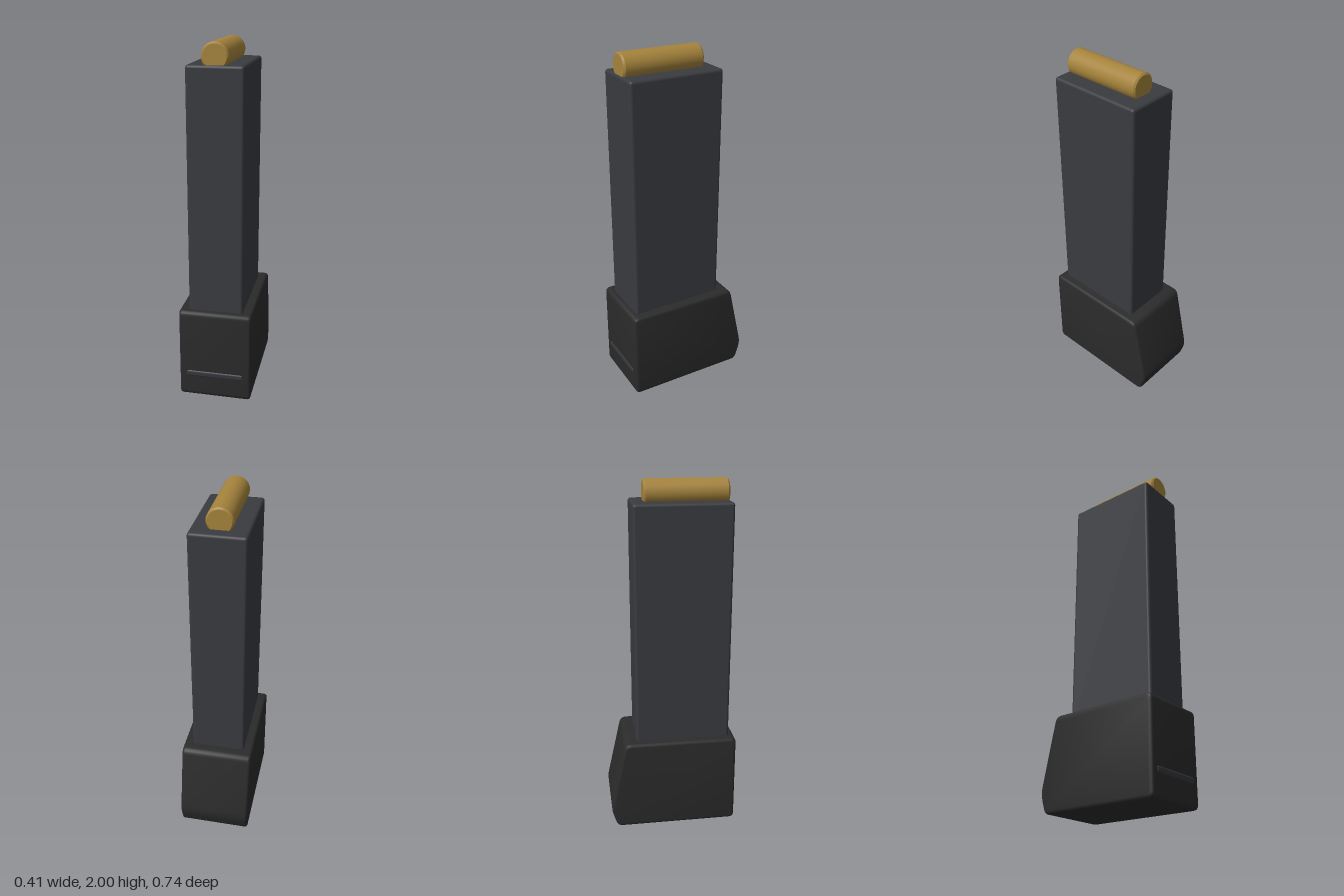
import * as THREE from 'three';
import { toCreasedNormals } from 'three/addons/utils/BufferGeometryUtils.js';
import { RoundedBoxGeometry } from 'three/addons/geometries/RoundedBoxGeometry.js';

const material = (color) => new THREE.MeshStandardMaterial({ color });

// Closed outline whose corners [x, y, radius] are rounded
function roundedOutline(corners) {
  const shape = new THREE.Shape();
  const n = corners.length;
  const toward = (a, b, d) => {
    const from = new THREE.Vector2(a[0], a[1]);
    const dir = new THREE.Vector2(b[0], b[1]).sub(from).normalize();
    return from.addScaledVector(dir, d);
  };
  corners.forEach((c, i) => {
    const start = toward(c, corners[(i + n - 1) % n], c[2]);
    const end = toward(c, corners[(i + 1) % n], c[2]);
    if (i === 0) shape.moveTo(start.x, start.y);
    else shape.lineTo(start.x, start.y);
    shape.quadraticCurveTo(c[0], c[1], end.x, end.y);
  });
  shape.closePath();
  return shape;
}

export function createModel() {
  const model = new THREE.Group();
  const add = (name, geometry, mat, x, y, z) => {
    const mesh = new THREE.Mesh(geometry, mat);
    mesh.name = name;
    mesh.position.set(x, y, z);
    model.add(mesh);
    return mesh;
  };

  // Base: side profile (z, y) with a slanted back, extruded across the width
  const bevel = 0.016, width = 0.41;
  const profile = roundedOutline([
    [0.366, 0, 0.03],
    [0.366, 0.532, 0.03],
    [-0.282, 0.532, 0.035],
    [-0.374, 0.115, 0.04],
    [-0.338, 0, 0.03],
  ].reverse());
  const base = new THREE.ExtrudeGeometry(profile, {
    depth: width - 2 * bevel,
    bevelThickness: bevel,
    bevelSize: bevel,
    bevelOffset: -bevel,
    bevelSegments: 3,
    curveSegments: 5,
  });
  base.translate(0, 0, -(width / 2 - bevel));
  base.rotateY(-Math.PI / 2);
  add('base', toCreasedNormals(base, 0.6), material(0x2b2b2b), 0, 0, 0);

  // Raised rib on the front of the base
  add('frontRib', new RoundedBoxGeometry(0.33, 0.038, 0.03, 3, 0.012),
    material(0x36373b), 0, 0.145, 0.356);

  // Tall column, sunk slightly into the base
  add('column', new RoundedBoxGeometry(0.306, 1.405, 0.543, 3, 0.016),
    material(0x393b40), 0, 1.1825, 0.0585);

  // Brass cylinder lying on top, with chamfered ends
  const r = 0.072, half = 0.2325, c = 0.009;
  const points = [
    [0, -half], [r - c, -half], [r, -half + c],
    [r, half - c], [r - c, half], [0, half],
  ].map(([x, y]) => new THREE.Vector2(x, y));
  const round = new THREE.LatheGeometry(points, 32);
  round.rotateX(Math.PI / 2);
  add('brassCylinder', toCreasedNormals(round, 0.5), material(0xa5833c), 0, 1.928, 0.0875);

  return model;
}
